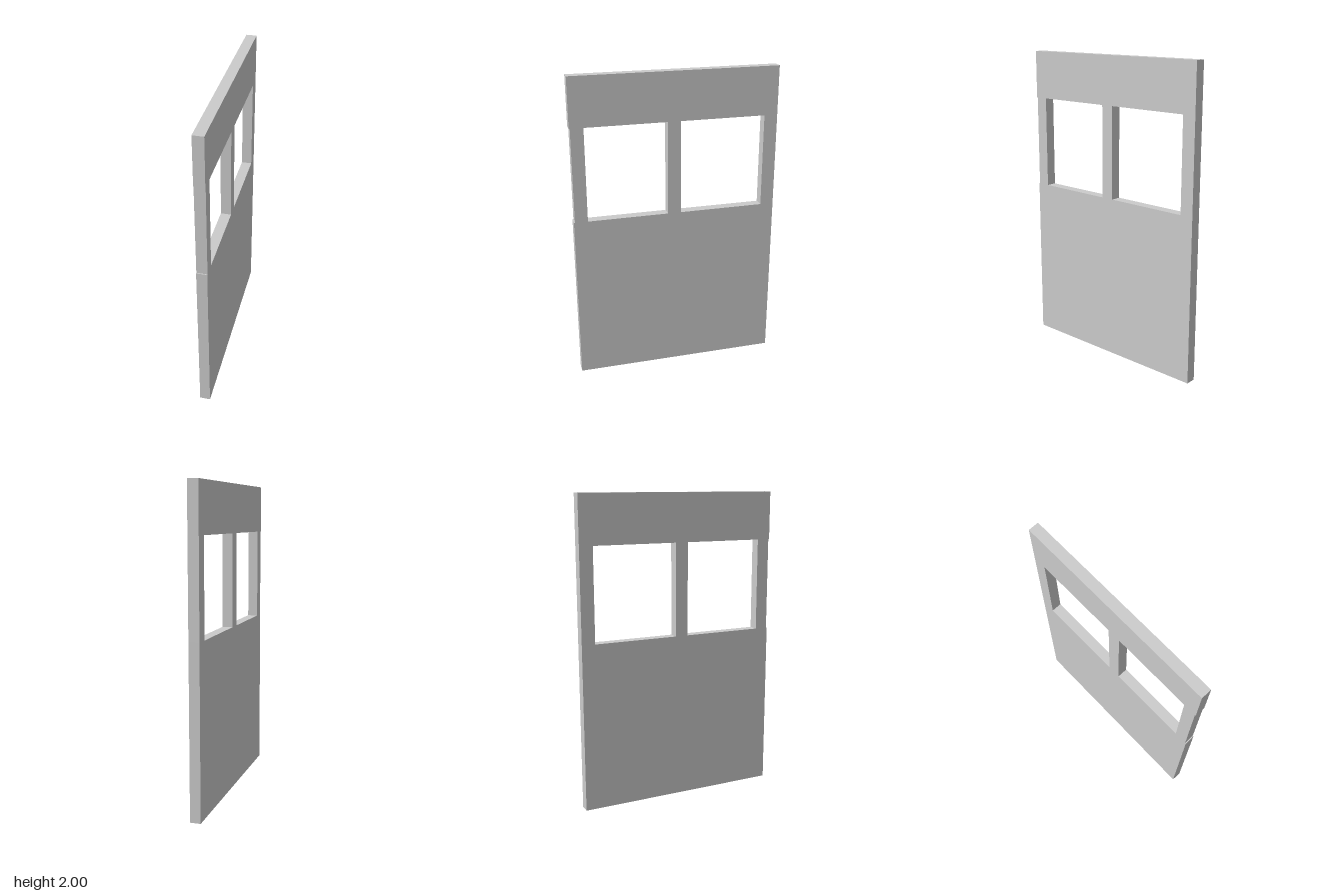
import * as THREE from 'three';

const THICKNESS = 0.067;
const SILL = 1.085, HEAD = 1.688, TOP = 2;
const EDGE = 0.666;

export function createModel() {
  const group = new THREE.Group();
  group.name = 'windowedWallPanel';
  const material = new THREE.MeshStandardMaterial({ color: 0xcccccc, flatShading: true });

  // Slab spanning the given heights and depths
  function slab(name, y0, y1, z0, z1) {
    const mesh = new THREE.Mesh(new THREE.BoxGeometry(THICKNESS, y1 - y0, z1 - z0), material);
    mesh.position.set(0, (y0 + y1) / 2, (z0 + z1) / 2);
    mesh.name = name;
    group.add(mesh);
  }

  // Solid wall below and above the windows
  slab('lowerPanel', 0, SILL, -EDGE, EDGE);
  slab('upperPanel', HEAD, TOP, -EDGE, EDGE);

  // Posts framing the two openings; the front post sits slightly inset
  slab('frontPost', SILL, HEAD, 0.578, 0.66);
  slab('middlePost', SILL, HEAD, -0.028, 0.057);
  slab('backPost', SILL, HEAD, -EDGE, -0.579);

  return group;
}
